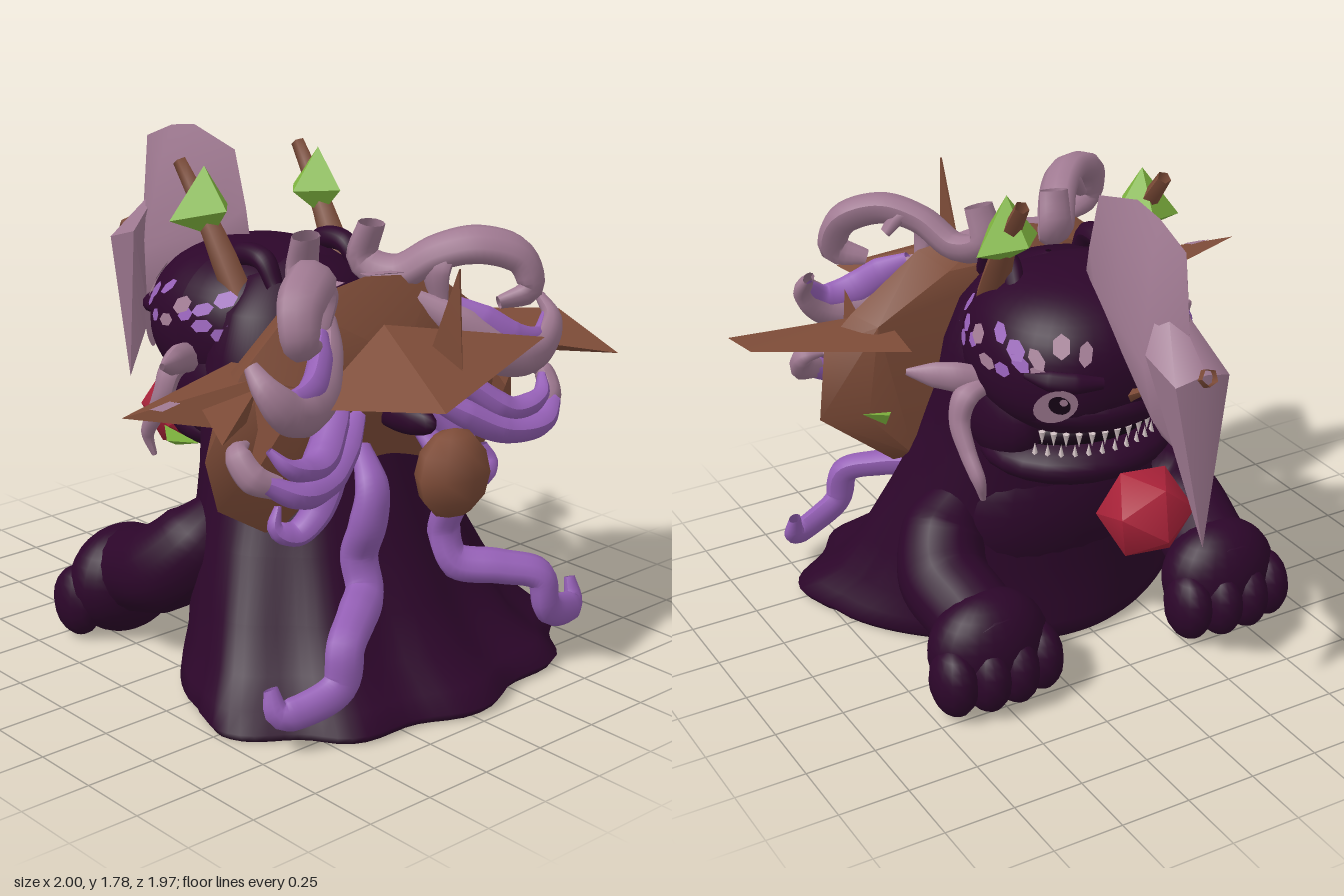
import * as THREE from 'three';
import { ConvexGeometry } from 'three/addons/geometries/ConvexGeometry.js';
import { toCreasedNormals } from 'three/addons/utils/BufferGeometryUtils.js';

const mat = (name, color, extra = {}) => {
  const m = new THREE.MeshStandardMaterial({ color, ...extra });
  m.name = name;
  return m;
};
const V = (p) => new THREE.Vector3(...p);

export function createModel() {
  const D = { side: THREE.DoubleSide };
  const skin = mat('dark plum skin', 0x2c062a, D);
  const wood = mat('brown wood', 0x7e4c38, D);
  const mauve = mat('dusty mauve', 0xa07a92, D);
  const violet = mat('violet', 0x9560b6, D);
  const green = mat('leaf green', 0x82b840, D);
  const red = mat('berry red', 0xaa2239);
  const ivory = mat('ivory teeth', 0xd2c2c4);
  const dark = mat('mouth black', 0x170417);

  const model = new THREE.Group();
  model.name = 'slugMonster';
  const root = new THREE.Group(); // body axis sits slightly off centre
  root.name = 'monster';
  root.position.x = 0.035;
  model.add(root);

  const add = (name, geo, m, p = [0, 0, 0], s = [1, 1, 1]) => {
    const mesh = new THREE.Mesh(geo, m);
    mesh.name = name;
    mesh.position.set(...p);
    mesh.scale.set(...s);
    root.add(mesh);
    return mesh;
  };
  const ball = (name, m, p, s, seg = 24) => add(name, new THREE.SphereGeometry(1, seg, Math.ceil(seg * 0.7)), m, p, s);
  const hull = (name, m, pts, crease = 0.3) => add(name, toCreasedNormals(new ConvexGeometry(pts.map(V)), crease), m);

  // Tube whose radius follows a list of values; flat squashes it into a ribbon
  function taper(name, m, pts, radii, flat = 1, n = 40, sides = 10) {
    const curve = new THREE.CatmullRomCurve3(pts.map(V));
    const geo = new THREE.TubeGeometry(curve, n, 1, sides);
    const pos = geo.attributes.position, c = new THREE.Vector3(), v = new THREE.Vector3();
    for (let i = 0; i <= n; i++) {
      curve.getPointAt(i / n, c);
      const f = (i / n) * (radii.length - 1), k = Math.min(Math.floor(f), radii.length - 2);
      const r = THREE.MathUtils.lerp(radii[k], radii[k + 1], f - k);
      for (let j = 0; j <= sides; j++) {
        const id = i * (sides + 1) + j;
        v.fromBufferAttribute(pos, id).sub(c);
        const a = v.dot(geo.normals[i]) * r, b = v.dot(geo.binormals[i]) * r * flat;
        v.copy(c).addScaledVector(geo.normals[i], a).addScaledVector(geo.binormals[i], b);
        pos.setXYZ(id, v.x, v.y, v.z);
      }
    }
    geo.computeVertexNormals();
    return add(name, geo, m);
  }

  // Cloaked body: rows of height, face-side z, back z, half width
  const rows = [
    [0, 0.2, 0.3, 0.01], [0, -0.22, 0.93, 0.8], [0.03, -0.25, 0.95, 0.82], [0.08, -0.25, 0.88, 0.77],
    [0.16, -0.24, 0.77, 0.69], [0.3, -0.23, 0.67, 0.62], [0.5, -0.23, 0.56, 0.53], [0.7, -0.23, 0.47, 0.44],
    [0.9, -0.22, 0.38, 0.39], [1.1, -0.2, 0.31, 0.37], [1.25, -0.15, 0.24, 0.32], [1.36, -0.1, 0.17, 0.22], [1.41, 0, 0.02, 0.01],
  ];
  const N = 96, verts = [], idx = [];
  rows.forEach(([y, zf, zb, hw], i) => {
    const skirt = Math.max(0, 1 - y / 0.9);
    for (let j = 0; j < N; j++) {
      const t = (j / N) * Math.PI * 2, c = Math.cos(t), s = Math.sin(t);
      const fold = 1 + Math.max(0, s) * skirt * (0.05 * Math.cos(11 * (t - Math.PI / 2)) - 0.02);
      const widen = 1 + 0.38 * skirt * (Math.min(s, 0.3) - 0.3);
      verts.push(
        Math.sign(c) * Math.abs(c) ** 0.92 * hw * widen * fold, y,
        (zf + zb) / 2 + Math.sign(s) * Math.abs(s) ** (s > 0 ? 1.12 : 0.75) * ((zb - zf) / 2) * fold);
      const k = (j + 1) % N;
      if (i) idx.push((i - 1) * N + j, i * N + j, (i - 1) * N + k, (i - 1) * N + k, i * N + j, i * N + k);
    }
  });
  const bodyGeo = new THREE.BufferGeometry();
  bodyGeo.setAttribute('position', new THREE.Float32BufferAttribute(verts, 3));
  bodyGeo.setIndex(idx);
  bodyGeo.computeVertexNormals();
  add('cloakBody', bodyGeo, skin);

  // Head: a rounded block shape; headPoint gives its surface
  const headC = [0, 1.15, -0.18], headR = [0.38, 0.28, 0.37];
  const sp = (v) => Math.sign(v) * Math.abs(v) ** 0.86;
  const headPoint = (az, el, k = 1) => {
    const d = [Math.sin(az) * Math.cos(el), Math.sin(el), -Math.cos(az) * Math.cos(el)];
    return d.map((v, i) => headC[i] + sp(v) * headR[i] * k);
  };
  const headGeo = new THREE.SphereGeometry(1, 40, 28), hp = headGeo.attributes.position;
  for (let i = 0; i < hp.count; i++) {
    hp.setXYZ(i, ...[hp.getX(i), hp.getY(i), hp.getZ(i)].map((v, k) => headC[k] + sp(v) * headR[k]));
  }
  headGeo.computeVertexNormals();
  add('head', headGeo, skin);
  ball('upperLip', skin, [0, 1.03, -0.26], [0.33, 0.13, 0.29]);
  ball('mouthInside', dark, [0, 0.89, -0.14], [0.3, 0.1, 0.27]);
  ball('lowerJaw', skin, [0, 0.79, -0.17], [0.35, 0.115, 0.31]);
  ball('chest', skin, [0, 0.5, -0.06], [0.38, 0.32, 0.19]);

  // Small teeth along both lips
  const tooth = new THREE.ConeGeometry(0.013, 0.05, 5);
  for (let i = -6; i <= 6; i++) {
    const a = i * 0.16;
    add('lowerTooth', tooth, ivory, [Math.sin(a) * 0.3, 0.86, -0.17 - Math.cos(a) * 0.265]);
    add('upperTooth', tooth, ivory, [Math.sin(a + 0.08) * 0.29, 0.925, -0.23 - Math.cos(a) * 0.255]).rotation.x = Math.PI;
  }

  // Thin patch laid on the head surface
  function patch(name, m, az, el, rx, ry, k = 1.012, seg = 6) {
    const d = add(name, new THREE.CircleGeometry(1, seg), m, headPoint(az, el, k), [rx, ry, 1]);
    const n = headPoint(az, el).map((v, i) => (v - headC[i]) / headR[i] ** 2);
    d.quaternion.setFromUnitVectors(new THREE.Vector3(0, 0, 1), V(n).normalize());
  }

  for (const s of [1, -1]) {
    const mir = (pts) => pts.map(([x, y, z]) => [x * s, y, z]);
    const side = s > 0 ? 'left' : 'right';
    ball(side + 'Cheek', skin, [s * 0.25, 0.94, -0.08], [0.13, 0.2, 0.25]);

    // Eyes with iris and heavy brow
    patch(side + 'Eye', mauve, s * 0.68, -0.16, 0.085, 0.06, 1.035, 20);
    patch(side + 'Iris', dark, s * 0.64, -0.13, 0.036, 0.038, 1.05, 16);
    patch(side + 'EyeGlint', mauve, s * 0.6, -0.09, 0.014, 0.014, 1.06, 10);
    taper(side + 'Brow', skin, [0.25, 0.5, 0.75, 1].map((a, i) => headPoint(s * a, 0.03 + i * 0.02, 1)), [0.02, 0.035, 0.035, 0.01]);

    // Head spots in bands, paler toward the face
    for (let i = 0; i < 8; i++) {
      patch('headSpot', i < 3 || i === 5 ? mauve : violet, s * (0.4 + i * 0.24), 0.36 + 0.1 * Math.sin(i * 2), 0.044, 0.024 + 0.008 * (i % 2));
      patch('headSpot', i < 1 || i === 3 ? mauve : violet, s * (0.85 + i * 0.2), 0.13 + 0.08 * Math.sin(i * 1.9), 0.034 + 0.01 * (i % 2), 0.024);
    }

    // Ear fins and cheek barbels
    taper(side + 'EarFin', mauve, mir([[0.34, 1.06, -0.14], [0.42, 1.08, -0.11], [0.5, 1.09, -0.06], [0.57, 1.1, -0.02]]), [0.05, 0.055, 0.045, 0.012], 0.8, 14);
    taper(side + 'Barbel', mauve, mir([[0.33, 1.06, -0.15], [0.42, 1.03, -0.16], [0.45, 0.95, -0.17], [0.45, 0.86, -0.22], [0.44, 0.77, -0.28], [0.42, 0.69, -0.27]]),
      [0.04, 0.05, 0.042, 0.035, 0.03, 0.012], 0.8);

    // Arms with knuckled paws
    taper(side + 'Arm', skin, mir([[0.32, 0.58, 0.03], [0.44, 0.44, -0.01], [0.5, 0.33, -0.12], [0.485, 0.265, -0.29], [0.475, 0.2, -0.44]]),
      [0.07, 0.15, 0.16, 0.155, 0.16], 1, 30, 18);
    ball(side + 'Paw', skin, [s * 0.475, 0.2, -0.39], [0.22, 0.2, 0.16]);
    [-0.165, -0.055, 0.055, 0.165].forEach((dx, i) =>
      ball(side + 'Finger', skin, [s * (0.475 + dx), 0.135, -0.47 + (i % 3 ? -0.01 : 0.02)], [0.08, 0.13, 0.11], 14));

    // Twig horns with faceted leaf buds
    taper(side + 'Twig', wood, mir([[0.24, 1.25, 0.02], [0.25, 1.42, -0.08], [0.26, 1.56, -0.17], [0.27, 1.72, -0.29]]), [0.055, 0.05, 0.035, 0.025], 1, 6, 5);
    taper(side + 'BrowCrest', skin, mir([[0.19, 1.34, 0.12], [0.19, 1.42, 0.06], [0.19, 1.42, -0.06], [0.21, 1.36, -0.14]]), [0.03, 0.04, 0.04, 0.03]);
    hull(side + 'LeafBud', green, mir([[0.26, 1.72, -0.17], [0.15, 1.57, -0.18], [0.26, 1.58, -0.05], [0.39, 1.54, -0.2], [0.24, 1.57, -0.28], [0.25, 1.48, -0.14]]));
    hull(side + 'SideLeaf', green, mir([[0.55, 0.87, 0.15], [0.67, 0.9, 0.13], [0.61, 0.92, 0.04], [0.6, 0.86, 0.09]]));

    // Curling upper tendrils
    taper(side + 'TopTendril', mauve, mir([[0.15, 1.53, 0.23], [0.14, 1.4, 0.2], [0.2, 1.36, 0.3], [0.28, 1.44, 0.42], [0.38, 1.47, 0.52], [0.5, 1.42, 0.6], [0.52, 1.31, 0.63], [0.42, 1.27, 0.58]]),
      [0.055, 0.065, 0.075, 0.075, 0.08, 0.08, 0.065, 0.03], 0.7);
    taper(side + 'TendrilLoop', mauve, mir([[0.27, 1.28, 0.44], [0.26, 1.4, 0.44], [0.33, 1.47, 0.45], [0.4, 1.4, 0.46]]), [0.04, 0.06, 0.06, 0.03], 0.6);
    taper(side + 'MidTendril', mauve, mir([[0.2, 1.28, 0.4], [0.3, 1.2, 0.52], [0.42, 1.09, 0.6], [0.56, 1.09, 0.64], [0.65, 1.18, 0.62], [0.66, 1.25, 0.55]]),
      [0.04, 0.06, 0.08, 0.08, 0.06, 0.025], 0.7);
    taper(side + 'MidTendrilLining', violet, mir([[0.3, 1.27, 0.48], [0.38, 1.2, 0.56], [0.46, 1.14, 0.61], [0.57, 1.13, 0.63], [0.64, 1.2, 0.6]]),
      [0.03, 0.06, 0.065, 0.05, 0.02], 0.7);

    // Violet lower tendrils
    taper(side + 'SideTendril', violet, mir([[0.17, 0.97, 0.5], [0.28, 0.9, 0.56], [0.42, 0.83, 0.62], [0.56, 0.83, 0.66], [0.66, 0.88, 0.62]]),
      [0.04, 0.065, 0.07, 0.06, 0.04], 0.8);
    taper(side + 'SideTendrilTip', mauve, mir([[0.62, 0.86, 0.63], [0.69, 0.9, 0.59], [0.7, 0.97, 0.53], [0.64, 0.98, 0.5]]), [0.04, 0.05, 0.045, 0.015], 0.8);
    taper(side + 'UpperSideTendril', violet, mir([[0.22, 1.08, 0.48], [0.32, 0.98, 0.55], [0.45, 0.89, 0.62], [0.58, 0.92, 0.64], [0.63, 0.98, 0.6]]), [0.035, 0.06, 0.065, 0.05, 0.015], 0.8);
    taper(side + 'HookTendril', violet, mir([[0.2, 0.93, 0.48], [0.3, 0.8, 0.52], [0.36, 0.68, 0.52], [0.43, 0.62, 0.5], [0.5, 0.65, 0.48], [0.48, 0.72, 0.47]]),
      [0.04, 0.065, 0.065, 0.055, 0.045, 0.015], 0.8);
    taper(side + 'LongTendril', violet, mir([[0.14, 0.86, 0.5], [0.18, 0.74, 0.6], [0.2, 0.62, 0.6], [0.2, 0.5, 0.56], [0.21, 0.39, 0.6], [0.34, 0.36, 0.7], [0.46, 0.32, 0.78], [0.49, 0.2, 0.79], [0.59, 0.15, 0.77], [0.7, 0.14, 0.73], [0.71, 0.22, 0.7]]),
      [0.035, 0.06, 0.07, 0.07, 0.07, 0.07, 0.065, 0.065, 0.06, 0.055, 0.025], 0.75, 70);
  }

  // Wooden shell on the back
  hull('shell', wood, [
    [-0.53, 1.1, 0.25], [-0.28, 1.3, 0.25], [0.26, 1.3, 0.25], [0.54, 1.15, 0.25], [0.58, 0.8, 0.27], [0.42, 0.62, 0.25], [-0.45, 0.62, 0.25], [-0.6, 0.8, 0.27],
    [-0.56, 1.16, 0.38], [-0.32, 1.35, 0.37], [0, 1.39, 0.36], [0.32, 1.35, 0.37], [0.58, 1.16, 0.38], [0.68, 1.05, 0.4], [0.72, 0.78, 0.38], [0.45, 0.56, 0.36],
    [-0.45, 0.59, 0.37], [-0.66, 0.72, 0.38], [-0.71, 0.9, 0.38], [-0.36, 1.1, 0.53], [0, 1.15, 0.55], [0.36, 1.1, 0.53], [0.25, 0.95, 0.5], [-0.25, 0.95, 0.5],
  ], 0.9);
  // Pale worn patches on the wood
  hull('shellPatch', mauve, [[-0.3, 1.355, 0.34], [-0.3, 1.356, 0.37], [-0.1, 1.385, 0.32], [-0.1, 1.388, 0.37], [-0.2, 1.36, 0.31], [-0.2, 1.372, 0.375]]);
  hull('shellPatch', mauve, [[0, 1.395, 0.33], [0, 1.395, 0.37], [0.22, 1.37, 0.32], [0.22, 1.372, 0.375], [0.1, 1.378, 0.31], [0.1, 1.388, 0.375]]);
  hull('splinterPatch', mauve, [[-0.93, 1.127, 0.385], [-0.84, 1.131, 0.37], [-0.82, 1.128, 0.4], [-0.9, 1.12, 0.41]]);

  // Splintered planks
  hull('backPlank', wood, [[-0.46, 1.08, 0.6], [-0.09, 1.28, 0.55], [0.46, 1.18, 0.76], [0.33, 1.12, 0.47], [-0.23, 1.11, 0.98]]);
  hull('rightSplinter', wood, [[-1.035, 1.12, 0.38], [-0.4, 1.12, 0.14], [-0.4, 1.15, 0.4], [-0.68, 1.03, 0.48], [-0.5, 1.06, 0.35]]);
  hull('rightBackSplinter', wood, [[-0.89, 1.08, 0.69], [-0.72, 1.1, 0.36], [-0.5, 1.12, 0.4], [-0.62, 1.04, 0.48]]);
  hull('leftSplinter', wood, [[0.965, 1.11, 0.37], [0.92, 1.02, 0.7], [0.45, 1.12, 0.42], [0.51, 1.13, 0.05], [0.5, 1.05, 0.35]]);
  hull('uprightSplinter', wood, [[-0.004, 1.5, 0.8], [0.004, 1.5, 0.8], [-0.004, 1.2, 0.68], [0.004, 1.2, 0.68], [0, 1.07, 0.83], [0.004, 1.1, 0.7]]);
  for (const s of [1, -1]) {
    hull('sideSplinter', wood, [[s * 0.5, 1.17, 0.64], [s * 0.55, 1.1, 0.3], [s * 0.58, 0.78, 0.42], [s * 0.5, 0.95, 0.55]]);
  }
  ball('woodenKnob', wood, [0, 0.81, 0.79], [0.145, 0.155, 0.105], 8);
  ball('knobStalk', skin, [0, 0.95, 0.55], [0.05, 0.06, 0.16], 12);

  // Forehead blade with hanging point
  const ridge = [[0.05, 1.42, -0.38], [0.065, 1.42, -0.55], [0.045, 1.62, -0.5], [0.045, 1.62, -0.7], [0.09, 1.3, -0.74], [0.07, 1.12, -0.76]];
  hull('foreheadBlade', mauve, [
    [0, 1.42, -0.24], [0, 1.52, -0.26], [0, 1.72, -0.32], [0, 1.78, -0.55], [0, 1.76, -0.68], [0, 1.7, -0.83], [0, 1.36, -0.87], [0, 1.0, -0.85], [0, 1.02, -0.72], [0, 1.2, -0.54],
    ...ridge, ...ridge.map(([x, y, z]) => [-x, y, z]),
  ], 1);
  hull('bladePoint', mauve, [[0.1, 1.31, -0.94], [-0.1, 1.31, -0.94], [0.11, 1.36, -0.78], [-0.11, 1.36, -0.78], [0, 1.56, -0.72], [0, 1.34, -0.96], [0, 0.73, -0.97], [0, 1.0, -0.84]], 0.7);
  taper('bladePeg', wood, [[0, 1.28, -0.86], [0, 1.31, -0.92], [0, 1.34, -0.98]], [0.035, 0.03, 0.03], 1, 2, 5);
  taper('noseTwig', wood, [[0, 1.06, -0.48], [0, 1.1, -0.55], [0, 1.15, -0.63]], [0.03, 0.02, 0.01], 1, 3, 5);

  // Softly shaded berry lure
  const berry = toCreasedNormals(new THREE.IcosahedronGeometry(0.165, 0), 1.2);
  add('berry', berry, red, [0, 0.7, -0.63]).rotation.set(0.3, 0, 0.1);

  return model;
}
